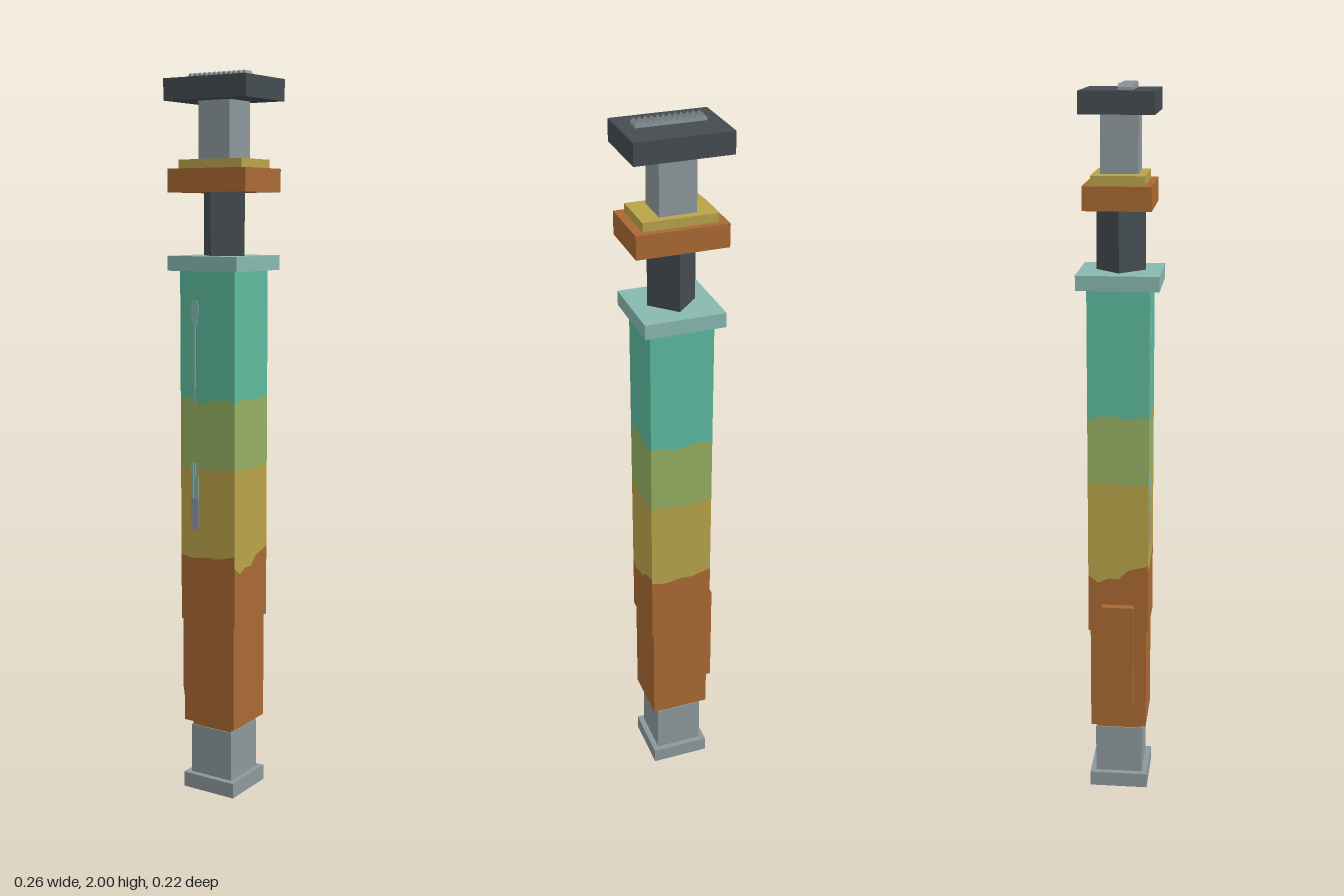
import * as THREE from 'three';
import { mergeGeometries } from 'three/addons/utils/BufferGeometryUtils.js';

function material(name, color) {
  const m = new THREE.MeshStandardMaterial({ color });
  m.name = name;
  return m;
}

// Linear interpolation through evenly spaced heights, t from 0 to 1
function sample(heights, t) {
  const f = t * (heights.length - 1);
  const i = Math.min(Math.floor(f), heights.length - 2);
  return THREE.MathUtils.lerp(heights[i], heights[i + 1], f - i);
}

// Four-sided band of the body whose lower and upper edges follow wavy lines.
// Each edge is a pair of profiles: [front and back, sides]
function bandGeometry(halfX, halfZ, low, high) {
  const faces = [];
  for (let i = 0; i < 4; i++) {
    const side = i % 2;
    const width = 2 * (side ? halfZ : halfX);
    const g = new THREE.PlaneGeometry(width, 1, 20, 1);
    const p = g.attributes.position;
    for (let v = 0; v < p.count; v++) {
      const t = THREE.MathUtils.clamp(p.getX(v) / width + 0.5, 0, 1);
      p.setY(v, sample((p.getY(v) < 0 ? low : high)[side], t));
    }
    g.translate(0, 0, side ? halfX : halfZ);
    g.rotateY(i * Math.PI / 2);
    faces.push(g);
  }
  return mergeGeometries(faces);
}

export function createModel() {
  const model = new THREE.Group();
  model.name = 'plungerTube';

  const teal = material('teal', 0x5cba9e);
  const paleTeal = material('paleTeal', 0x88b8b0);
  const green = material('green', 0x95b062);
  const gold = material('gold', 0xb9a349);
  const orange = material('orange', 0xa96933);
  const grey = material('grey', 0x8d989c);
  const dark = material('darkGrey', 0x444c50);
  const slate = material('slate', 0x8f95a4);

  function add(name, geometry, mat) {
    const mesh = new THREE.Mesh(geometry, mat);
    mesh.name = name;
    model.add(mesh);
    return mesh;
  }
  // Box centred on the axis, from y0 to y1
  function block(name, halfX, halfZ, y0, y1, mat) {
    const mesh = add(name, new THREE.BoxGeometry(2 * halfX, y1 - y0, 2 * halfZ), mat);
    mesh.position.y = (y0 + y1) / 2;
    return mesh;
  }

  // Foot and lower body
  block('base', 0.083, 0.083, 0, 0.043, grey);
  block('foot', 0.067, 0.067, 0.043, 0.185, grey);
  block('lowerNeck', 0.064, 0.064, 0.185, 0.2, orange);
  block('lowerBody', 0.083, 0.079, 0.2, 0.5, orange);

  // Clip on the right side
  const clip = block('sideClip', 0.014, 0.045, 0.27, 0.58, orange);
  clip.position.x = -0.096;

  // Upper body: stacked colour bands with wavy borders
  const flat = y => [[y, y], [y, y]];
  const edges = [
    flat(0.5),
    [[0.688, 0.68, 0.682, 0.688, 0.685, 0.692, 0.7], [0.668, 0.645, 0.66, 0.658, 0.685, 0.692, 0.7]],
    [[0.937, 0.937, 0.932, 0.937, 0.94], [0.938, 0.937, 0.938, 0.934, 0.937]],
    [[1.128, 1.13, 1.118, 1.125, 1.132, 1.125], [1.122, 1.13, 1.132, 1.122, 1.13, 1.126]],
    flat(1.476),
  ];
  [['orangeBand', orange], ['goldBand', gold], ['greenBand', green], ['tealBand', teal]]
    .forEach(([name, mat], i) =>
      add(name, bandGeometry(0.088, 0.084, edges[i], edges[i + 1]), mat));
  block('bodyUnderside', 0.0875, 0.0835, 0.5, 0.52, orange);

  // Painted marks on the front face
  function mark(name, x0, x1, y0, y1, mat) {
    const m = add(name, new THREE.BoxGeometry(x1 - x0, y1 - y0, 0.002), mat);
    m.position.set((x0 + x1) / 2, (y0 + y1) / 2, 0.0845);
  }
  mark('upperMarkHead', -0.054, -0.028, 1.345, 1.385, paleTeal);
  mark('upperMarkTip', -0.05, -0.032, 1.385, 1.397, paleTeal);
  mark('upperMarkNeck', -0.05, -0.032, 1.33, 1.345, paleTeal);
  mark('upperMarkLine', -0.045, -0.037, 1.11, 1.33, paleTeal);
  for (const x of [-0.053, -0.044, -0.035]) {
    mark('lowerMarkStripe', x, x + 0.006, 0.85, 0.95, paleTeal);
  }
  mark('lowerMark', -0.054, -0.029, 0.775, 0.85, slate);
  mark('lowerMarkTip', -0.05, -0.033, 0.76, 0.775, slate);

  // Collar and diamond-section shaft
  block('collar', 0.11, 0.111, 1.476, 1.516, paleTeal);
  const shaft = add('diamondShaft',
    new THREE.CylinderGeometry(0.066, 0.066, 0.169, 4).toNonIndexed(), dark);
  shaft.geometry.computeVertexNormals();
  shaft.position.y = 1.6005;

  // Grip plates, stem and cap
  block('gripPlate', 0.124, 0.09, 1.685, 1.748, orange);
  block('gripTrim', 0.1, 0.071, 1.748, 1.772, gold);
  block('stem', 0.05, 0.05, 1.772, 1.926, grey);
  block('cap', 0.13, 0.098, 1.926, 1.984, dark);

  // Ridged strip on the cap
  const teeth = 12, x0 = -0.093, pitch = 0.185 / teeth;
  const outline = new THREE.Shape();
  outline.moveTo(x0, 0);
  outline.lineTo(x0 + teeth * pitch, 0);
  for (let i = teeth; i > 0; i--) {
    outline.lineTo(x0 + i * pitch, 0.007);
    outline.lineTo(x0 + (i - 0.5) * pitch, 0.016);
  }
  outline.lineTo(x0, 0.007);
  const strip = add('ridgedStrip',
    new THREE.ExtrudeGeometry(outline, { depth: 0.037, bevelEnabled: false }), grey);
  strip.position.y = 1.984;

  return model;
}
